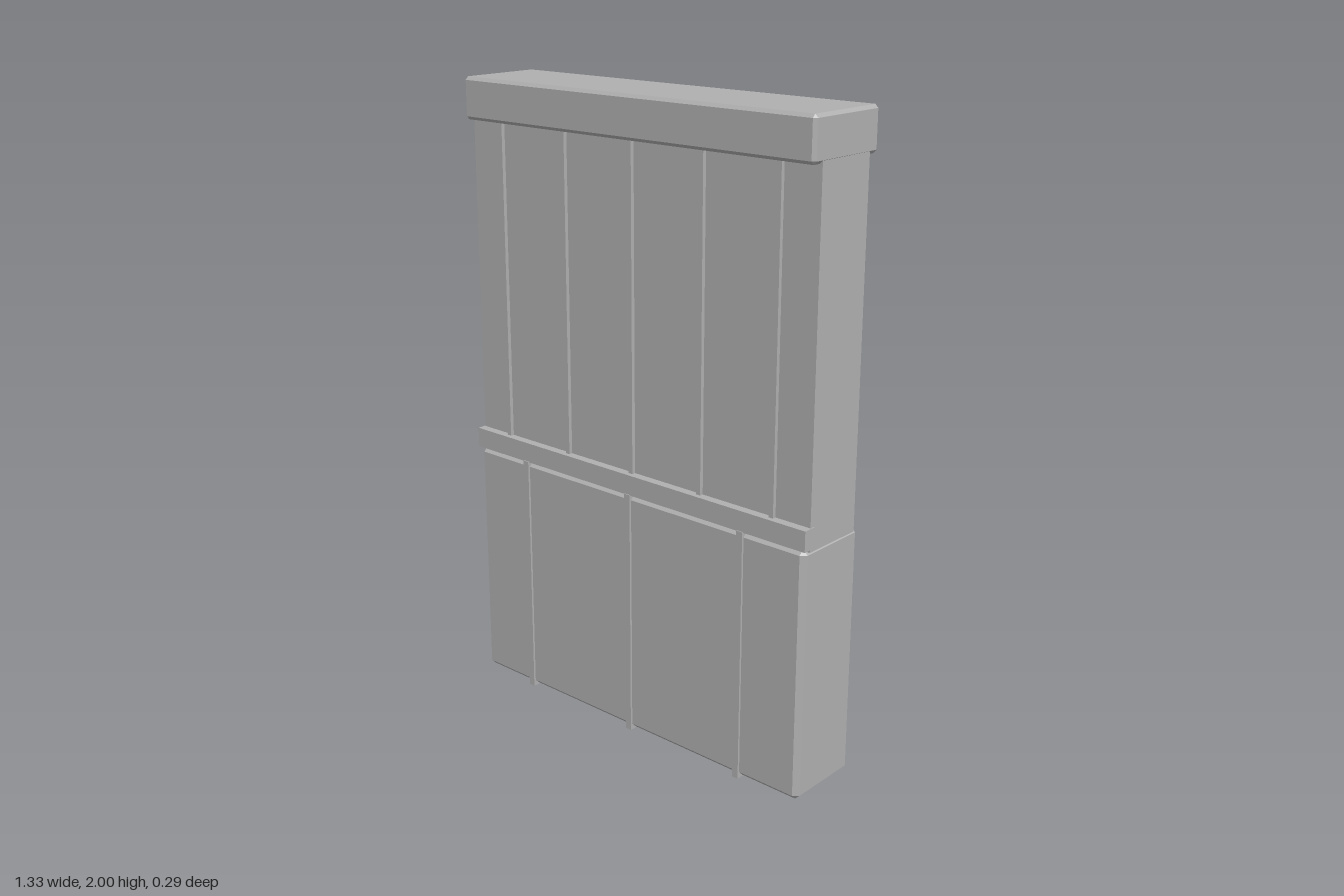
import * as THREE from 'three';
import { ConvexGeometry } from 'three/addons/geometries/ConvexGeometry.js';

// Box with every edge cut by a flat chamfer c, given by its min and max corners
function chamferedBox(min, max, c) {
  const centre = min.map((v, i) => (v + max[i]) / 2);
  const half = min.map((v, i) => (max[i] - v) / 2);
  const points = [];
  for (const sx of [-1, 1]) for (const sy of [-1, 1]) for (const sz of [-1, 1]) {
    const sign = [sx, sy, sz];
    for (let face = 0; face < 3; face++) {
      const p = sign.map((s, i) => centre[i] + s * (half[i] - (i === face ? 0 : c)));
      points.push(new THREE.Vector3(...p));
    }
  }
  return new ConvexGeometry(points);
}

function plainBox(min, max) {
  const geometry = new THREE.BoxGeometry(...max.map((v, i) => v - min[i]));
  return geometry.translate(...max.map((v, i) => (v + min[i]) / 2));
}

export function createModel() {
  const group = new THREE.Group();
  const grey = new THREE.MeshStandardMaterial({ color: 0xb0b0b0 });
  grey.name = 'plain grey';

  const add = (name, geometry) => {
    const mesh = new THREE.Mesh(geometry, grey);
    mesh.name = name;
    group.add(mesh);
  };

  // Main blocks
  add('base', chamferedBox([-0.663, 0.004, -0.13], [0.663, 0.8, 0.13], 0.016));
  add('upperPanel', plainBox([-0.664, 0.79, -0.105], [0.664, 1.88, 0.106]));
  add('middleRail', plainBox([-0.667, 0.8, 0.09], [0.667, 0.864, 0.134]));
  add('cap', chamferedBox([-0.665, 1.87, -0.144], [0.665, 2, 0.143], 0.01));

  // Narrow battens on the upper front
  for (const x of [-0.536, -0.27, -0.002, 0.266, 0.534]) {
    add('upperBatten', plainBox([x - 0.008, 0.86, 0.1], [x + 0.008, 1.875, 0.118]));
  }

  // Battens on the base front
  for (const x of [-0.442, 0, 0.437]) {
    add('baseBatten', plainBox([x - 0.011, 0, 0.11], [x + 0.011, 0.802, 0.137]));
  }
  return group;
}
